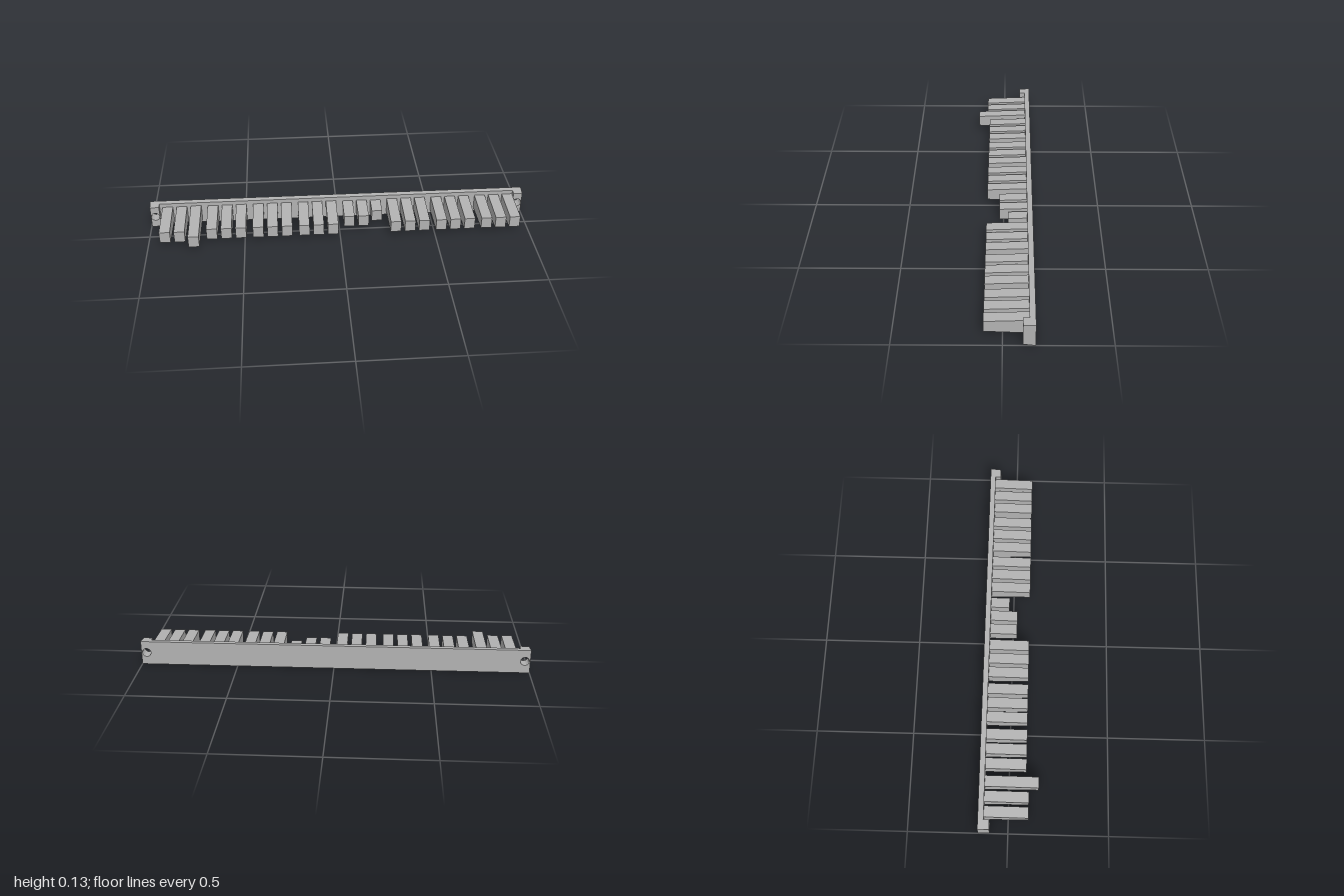
import * as THREE from 'three';
import { toCreasedNormals } from 'three/addons/utils/BufferGeometryUtils.js';

const MID = 0.0635;      // mid height of the rail
const BACK = -0.148;     // rear face of the rail
const RAIL_FRONT = -0.12;
const TAB_FRONT = -0.091;
const TAB_INNER = 0.949;

// Moves every vertex by a rule
function reshape(geometry, rule) {
  const pos = geometry.attributes.position;
  const v = new THREE.Vector3();
  for (let i = 0; i < pos.count; i++) {
    rule(v.fromBufferAttribute(pos, i));
    pos.setXYZ(i, v.x, v.y, v.z);
  }
  return toCreasedNormals(geometry, 0.5);
}

// Draft on the outer faces of the rail: narrower towards the front
function railDraft(v) {
  const inset = 0.065 * (v.z - BACK);
  if (Math.abs(v.y - MID) > 0.06) v.y -= Math.sign(v.y - MID) * inset;
  if (Math.abs(v.x) > 0.9995) v.x -= Math.sign(v.x) * inset;
}

export function createModel() {
  const group = new THREE.Group();
  const grey = new THREE.MeshStandardMaterial({ color: 0xb2b2b2 });
  grey.name = 'grey';
  const add = (geometry, name) => {
    const mesh = new THREE.Mesh(geometry, grey);
    mesh.name = name;
    group.add(mesh);
  };

  // Long rail between the end tabs
  const rail = new THREE.BoxGeometry(2 * TAB_INNER, 2 * MID, RAIL_FRONT - BACK);
  rail.translate(0, MID, (RAIL_FRONT + BACK) / 2);
  add(reshape(rail, railDraft), 'rail');

  // Thicker end tabs with screw holes
  for (const side of [-1, 1]) {
    const a = Math.min(side, side * TAB_INNER), b = Math.max(side, side * TAB_INNER);
    const shape = new THREE.Shape([
      new THREE.Vector2(a, 0), new THREE.Vector2(b, 0),
      new THREE.Vector2(b, 2 * MID), new THREE.Vector2(a, 2 * MID),
    ]);
    shape.holes.push(new THREE.Path().absarc(side * 0.973, 0.065, 0.0225, 0, Math.PI * 2, true));
    const tab = new THREE.ExtrudeGeometry(shape, {
      depth: TAB_FRONT - BACK, bevelEnabled: false, curveSegments: 20,
    });
    tab.translate(0, 0, BACK);
    add(reshape(tab, railDraft), side > 0 ? 'leftEndTab' : 'rightEndTab');
  }

  // Teeth in eight groups of three, each flaring in height towards the rail
  const special = { 0: [0.1, 0.1, 0.148], 4: [0.021, 0.021, -0.022] };
  for (let g = 0; g < 8; g++) {
    for (let i = 0; i < 3; i++) {
      const tip = special[g] ? special[g][i] : 0.086;
      const root = RAIL_FRONT - 0.005;
      const tooth = new THREE.BoxGeometry(0.055, 0.062, tip - root);
      tooth.translate(-0.832 + 0.2395 * g + 0.075 * (i - 1), 0.064, (tip + root) / 2);
      add(reshape(tooth, (v) => {
        v.y += Math.sign(v.y - 0.064) * 0.042 * (tip - v.z);
      }), 'tooth');
    }
  }
  return group;
}
